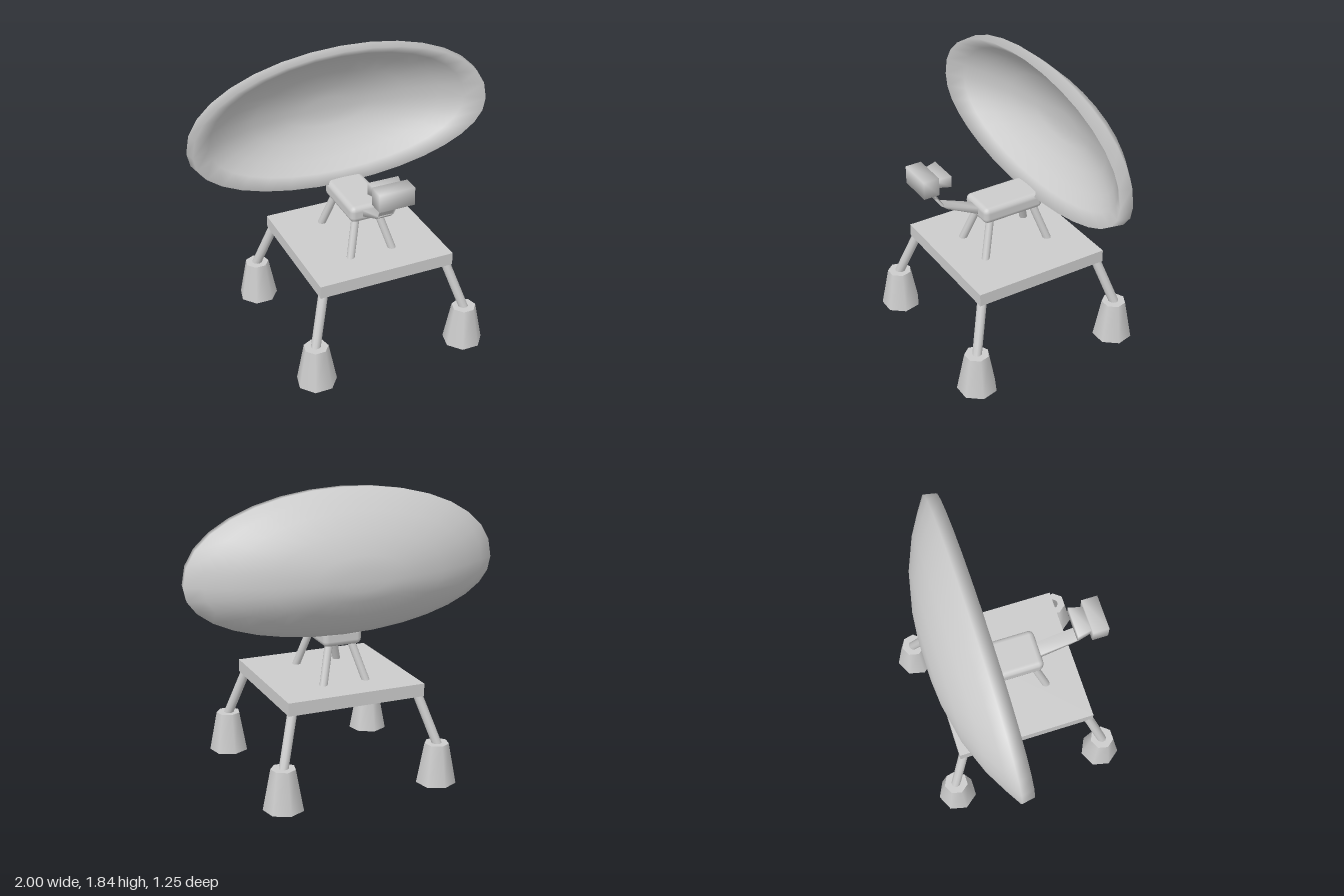
import * as THREE from 'three';
import { mergeVertices } from 'three/addons/utils/BufferGeometryUtils.js';
import { RoundedBoxGeometry } from 'three/addons/geometries/RoundedBoxGeometry.js';

const grey = new THREE.MeshStandardMaterial({ color: 0xcccccc });
const greyOpen = new THREE.MeshStandardMaterial({ color: 0xcccccc, side: THREE.DoubleSide });

const V = (x, y, z) => new THREE.Vector3(x, y, z);

function add(parent, name, geometry, material = grey) {
  const mesh = new THREE.Mesh(geometry, material);
  mesh.name = name;
  parent.add(mesh);
  return mesh;
}

// Round rod between two points
function rod(parent, name, a, b, radius) {
  const mesh = add(parent, name, new THREE.CylinderGeometry(radius, radius, a.distanceTo(b), 10));
  mesh.position.copy(a).lerp(b, 0.5);
  mesh.quaternion.setFromUnitVectors(V(0, 1, 0), b.clone().sub(a).normalize());
}

// Four-cornered section facing +z: half width w, half height (ny, nz) so it may lean
const section = (x, y, z, w, ny, nz = 0) => [
  V(x - w, y - ny, z - nz), V(x + w, y - ny, z - nz), V(x + w, y + ny, z + nz), V(x - w, y + ny, z + nz),
];

// Soft-shaded solid through sections ordered from back to front
function loft(sections) {
  const pos = sections.flat().flatMap((p) => [p.x, p.y, p.z]);
  const index = [];
  const last = (sections.length - 1) * 4;
  for (let s = 0; s < last; s += 4) {
    for (let i = 0; i < 4; i++) {
      const a = s + i, b = s + ((i + 1) % 4);
      index.push(a, b, b + 4, a, b + 4, a + 4);
    }
  }
  index.push(0, 2, 1, 0, 3, 2, last, last + 1, last + 2, last, last + 2, last + 3);
  const g = new THREE.BufferGeometry();
  g.setAttribute('position', new THREE.Float32BufferAttribute(pos, 3));
  g.setIndex(index);
  g.computeVertexNormals();
  return g;
}

// Thick oval bowl: a lathe turned forward, then stretched wide with a flatter lower half
function dishGeometry() {
  const profile = [
    [0, -0.503], [0.15, -0.501], [0.3, -0.488], [0.55, -0.437], [0.76, -0.357], [0.9, -0.28], [1, -0.219],
    [0.985, -0.14], [0.862, -0.216], [0.73, -0.29], [0.53, -0.367], [0.29, -0.414], [0.15, -0.425], [0, -0.428],
  ].map(([r, z]) => new THREE.Vector2(r, z));
  let g = new THREE.LatheGeometry(profile, 32);
  g.rotateX(Math.PI / 2);
  const p = g.attributes.position;
  for (let i = 0; i < p.count; i++) {
    const x = p.getX(i), y = p.getY(i);
    const r = Math.hypot(x, y) || 1;
    const bulged = Math.sign(y) * r * Math.pow(Math.abs(y) / r, 0.93);
    p.setY(i, 1.33 + bulged * (y > 0 ? 0.51 : 0.393));
  }
  g.deleteAttribute('uv');
  g.deleteAttribute('normal');
  g = mergeVertices(g, 1e-4);
  g.computeVertexNormals();
  return g;
}

export function createModel() {
  const model = new THREE.Group();
  model.name = 'satelliteDish';

  // Square platform
  add(model, 'platform', new THREE.BoxGeometry(0.89, 0.082, 0.89)).position.set(0.009, 0.59, 0.004);

  // Four splayed legs on hollow feet, and four struts above the platform
  for (const sx of [1, -1]) {
    for (const sz of [1, -1]) {
      const corner = new THREE.Group();
      corner.name = (sz > 0 ? 'front' : 'back') + (sx > 0 ? 'Left' : 'Right') + 'Support';
      model.add(corner);
      rod(corner, 'leg', V(sx * 0.412 + 0.007, 0.56, sz * 0.412 + 0.004),
        V(sx * 0.512 + 0.007, 0.235, sz * 0.512 + 0.004), 0.03);

      const fx = sx * 0.507 + 0.008, fz = sz * 0.507 + 0.006;
      const foot = add(corner, 'foot', new THREE.CylinderGeometry(0.077, 0.126, 0.257, 7, 1, true), greyOpen);
      foot.position.set(fx, 0.1285, fz);
      foot.rotation.y = Math.PI;
      const cap = add(corner, 'footCap', new THREE.CylinderGeometry(0.077, 0.077, 0.002, 7));
      cap.position.set(fx, 0.256, fz);
      cap.rotation.y = Math.PI;

      rod(corner, 'strut', V(sx * 0.07 + 0.002, 0.88, sz * 0.148), V(sx * 0.146 + 0.002, 0.61, sz * 0.232), 0.025);
    }
  }

  // Mounting block under the dish rim
  add(model, 'mountBlock', new RoundedBoxGeometry(0.254, 0.108, 0.42, 2, 0.035)).position.set(0, 0.909, 0.005);

  add(model, 'dish', dishGeometry());

  // Flat bent arm carrying the receiver
  add(model, 'receiverArm', loft([
    section(-0.004, 0.897, 0.17, 0.045, 0.027, 0.009),
    section(-0.014, 1.015, 0.445, 0.044, 0.017, 0.02),
    section(-0.02, 1.18, 0.548, 0.044, 0.012, 0.021),
  ]));

  // Receiver box with a horn that widens toward the dish
  add(model, 'receiverBox', loft([
    section(-0.018, 1.217, 0.507, 0.1125, 0.057), section(-0.018, 1.217, 0.609, 0.1125, 0.057),
  ]));
  add(model, 'receiverHorn', loft([
    section(-0.018, 1.217, 0.418, 0.1, 0.037), section(-0.018, 1.217, 0.515, 0.077, 0.026),
  ]));

  return model;
}
